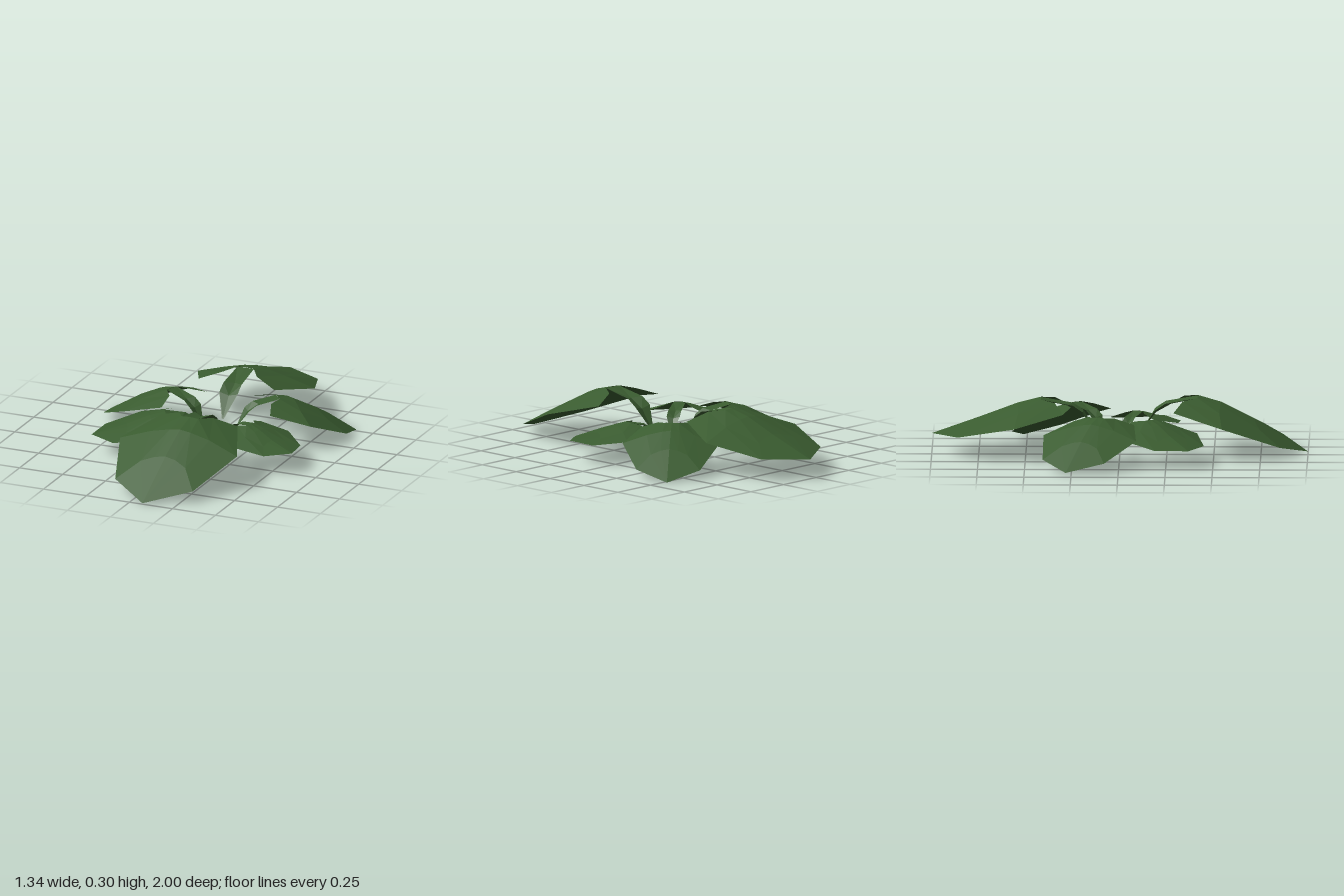
import * as THREE from 'three';

const leafGreen = new THREE.MeshStandardMaterial({ color: 0x3a5c30, side: THREE.DoubleSide, flatShading: true });
leafGreen.name = 'leaf green';

const NOTCH = 0.3; // distance along the leaf where the stalk meets the blade
const LENGTH = 0.88;
const TIP_DROP = 0.08;

// Cross-sections of the +x half, from midrib to edge: [x, y, z along the leaf]
const STALK = [
  [[0, 0.015, 0], [0.006, 0.015, 0]],
  [[0, 0.12, 0.08], [0.053, 0.135, 0.075]],
  [[0, 0.165, 0.16], [0.052, 0.172, 0.13]],
  [[0, 0.205, 0.3], [0.048, 0.203, 0.3]],
];
const BLADE = [
  [[0, 0.207, 0.3], [0.048, 0.204, 0.3], [0.098, 0.193, 0.225], [0.22, 0.15, 0.18]],
  [[0, 0.176, 0.42], [0.06, 0.168, 0.42], [0.17, 0.142, 0.42], [0.34, 0.085, 0.44]],
  [[0, 0.086, 0.6], [0.06, 0.076, 0.605], [0.13, 0.052, 0.63], [0.225, -0.027, 0.74]],
  [[0, -TIP_DROP, LENGTH], [0, -TIP_DROP, LENGTH], [0, -TIP_DROP, LENGTH], [0, -TIP_DROP, LENGTH]],
];

// Mirrored sheet through the sections; lift bends the tip up or down
function sheet(rows, scale, lift) {
  const pos = [];
  const put = (p, side) => {
    const t = Math.max(0, (p[2] - NOTCH) / (LENGTH - NOTCH));
    pos.push(p[0] * side * scale, p[1] * scale + lift * t * t, p[2] * scale);
  };
  const same = (p, q) => p.every((v, k) => v === q[k]);
  const tri = (a, b, c, side) => {
    if (same(a, b) || same(b, c) || same(a, c)) return;
    (side > 0 ? [a, b, c] : [a, c, b]).forEach((p) => put(p, side));
  };
  for (const side of [1, -1]) {
    for (let i = 0; i < rows.length - 1; i++) {
      for (let j = 0; j < rows[i].length - 1; j++) {
        const a = rows[i][j], b = rows[i + 1][j], c = rows[i + 1][j + 1], d = rows[i][j + 1];
        tri(a, b, c, side);
        tri(a, c, d, side);
      }
    }
  }
  const geometry = new THREE.BufferGeometry();
  geometry.setAttribute('position', new THREE.Float32BufferAttribute(pos, 3));
  geometry.computeVertexNormals();
  return geometry;
}

// One leaf from its stalk foot (x, z) to its tip (x, y, z); small leaves sit lower
function makeLeaf(name, [bx, bz], [tx, ty, tz]) {
  const scale = Math.hypot(tx - bx, tz - bz) / LENGTH;
  const baseY = 0.035 + 0.055 * scale;
  const lift = ty - (baseY - TIP_DROP * scale);
  const leaf = new THREE.Group();
  leaf.name = name;
  for (const [part, rows] of [['stalk', STALK], ['blade', BLADE]]) {
    const mesh = new THREE.Mesh(sheet(rows, scale, lift), leafGreen);
    mesh.name = part;
    leaf.add(mesh);
  }
  leaf.position.set(bx, baseY, bz);
  leaf.rotation.y = Math.atan2(tx - bx, tz - bz);
  return leaf;
}

export function createModel() {
  const plant = new THREE.Group();
  plant.name = 'plant';
  plant.add(
    makeLeaf('frontLeaf', [0.1, 0.11], [0.075, 0.005, 1.0]),
    makeLeaf('backLeaf', [0.045, -0.12], [0.045, 0.105, -1.0]),
    makeLeaf('rightBackLeaf', [-0.03, -0.03], [-0.67, 0.01, -0.28]),
    makeLeaf('rightFrontLeaf', [0.01, 0.06], [-0.5, 0.1, 0.37]),
    makeLeaf('leftBackLeaf', [0.14, -0.09], [0.645, 0.0, -0.52]),
    makeLeaf('leftFrontLeaf', [0.145, 0.02], [0.605, 0.11, 0.235]),
  );
  return plant;
}
